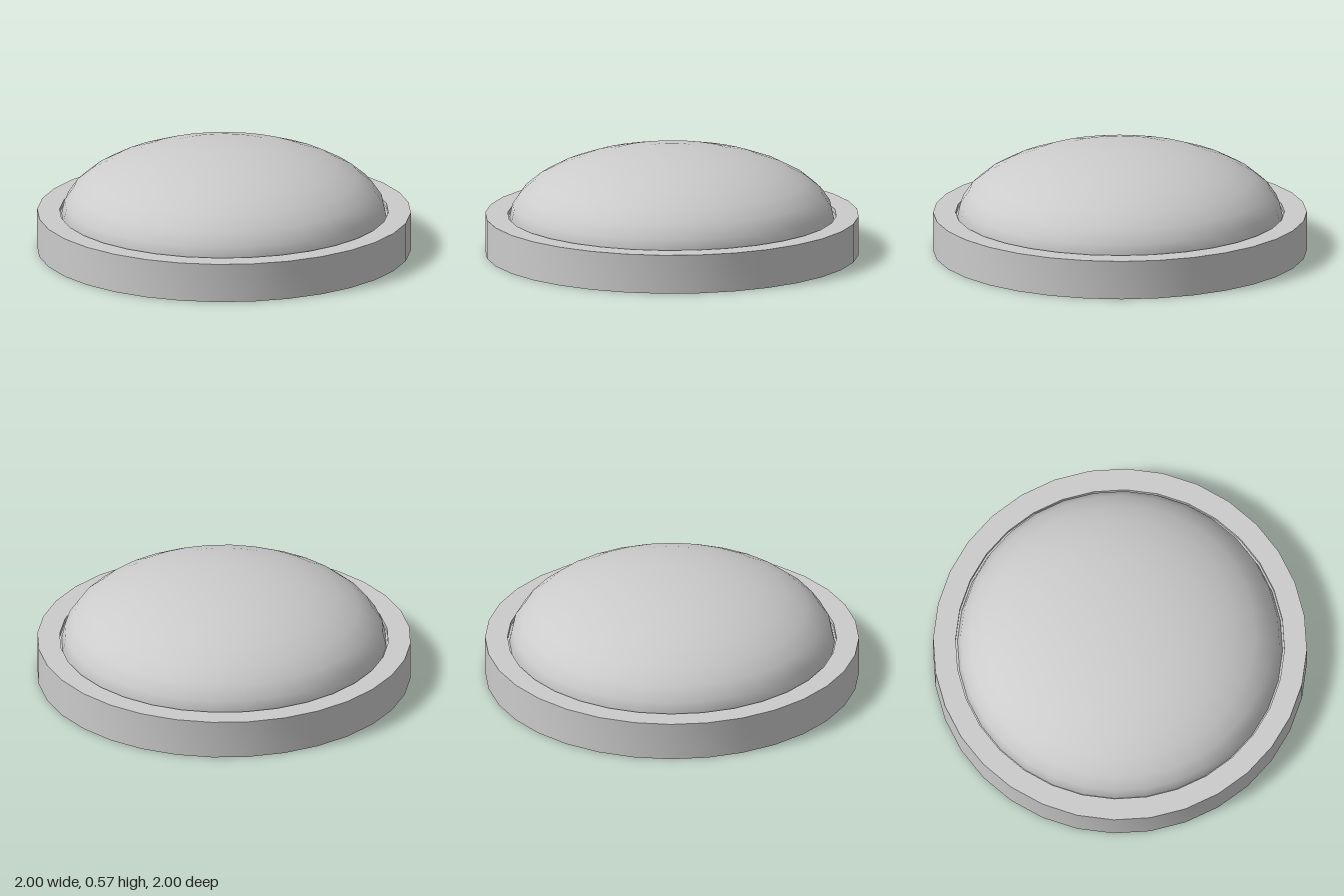
import * as THREE from 'three';
import { toCreasedNormals } from 'three/addons/utils/BufferGeometryUtils.js';

const SIDES = 32;
const BASE_TOP = 0.21;
const SEAT = 0.187; // height of the recess floor that carries the dome

export function createModel() {
  const group = new THREE.Group();
  const material = new THREE.MeshStandardMaterial({ color: 0xcccccc });

  // Round base: flat underside, straight wall, rim and shallow recess
  const profile = [[0, 0], [1, 0], [1, BASE_TOP], [0.88, BASE_TOP], [0.88, SEAT], [0, SEAT]]
    .map(([r, y]) => new THREE.Vector2(r, y));
  const base = new THREE.Mesh(
    toCreasedNormals(new THREE.LatheGeometry(profile, SIDES), Math.PI / 6), material);
  base.name = 'base';
  group.add(base);

  // Flattened dome: upper half of an ellipsoid seated in the recess
  const domeGeometry = new THREE.SphereGeometry(1, SIDES, 8, 0, Math.PI * 2, 0, Math.PI / 2);
  domeGeometry.scale(0.87, 0.383, 0.87);
  const dome = new THREE.Mesh(domeGeometry, material);
  dome.name = 'dome';
  dome.position.y = SEAT;
  group.add(dome);

  return group;
}
